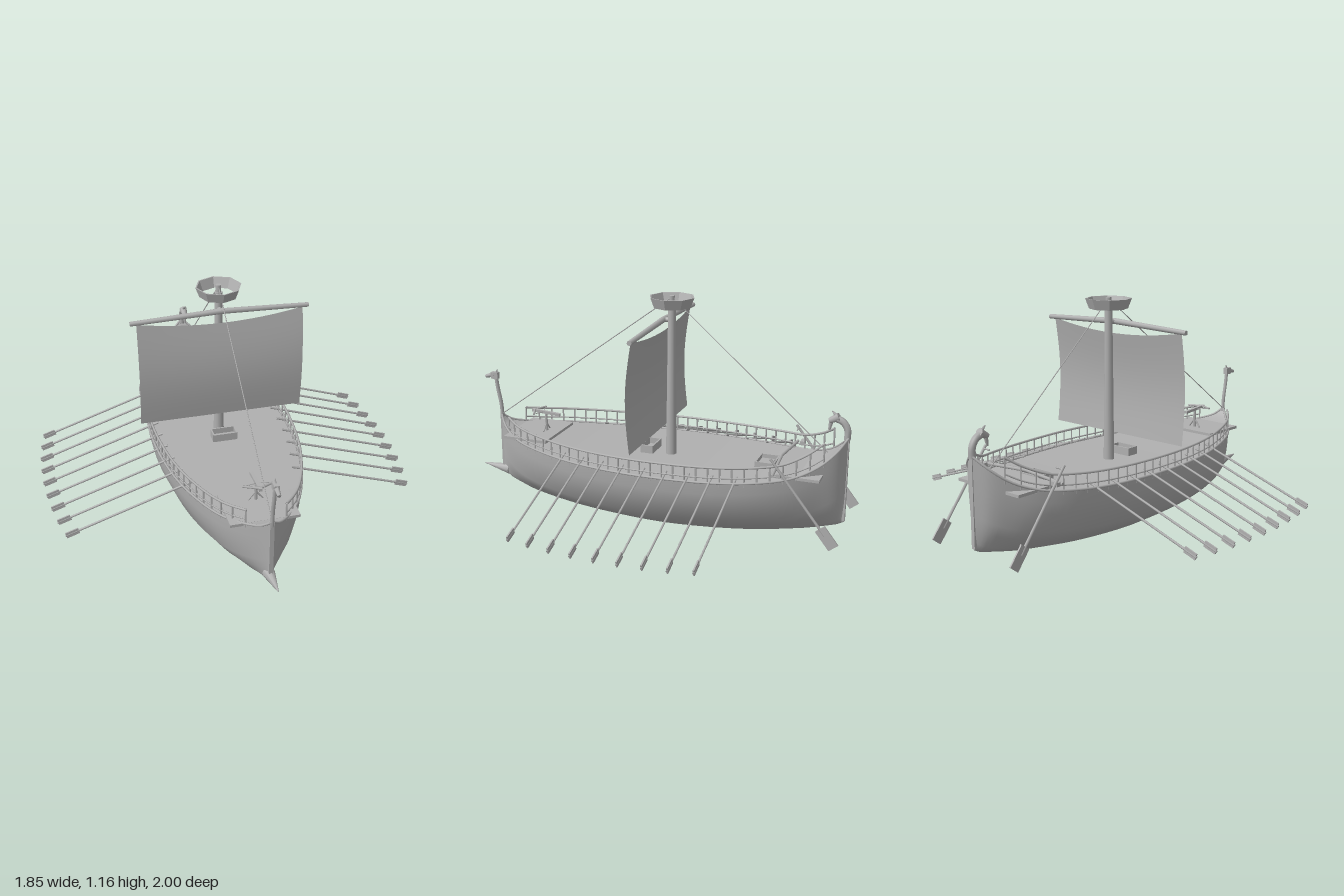
import * as THREE from 'three';

const V = (x, y, z) => new THREE.Vector3(x, y, z);
const grey = new THREE.MeshStandardMaterial({ color: 0xb0b0b0, side: THREE.DoubleSide });
grey.name = 'plain grey';

// Hull stations from bow to stern: z, half width, keel height, sheer height
const stations = [
  [0.88, 0.008, 0.13, 0.44], [0.85, 0.04, 0.10, 0.41], [0.8, 0.09, 0.08, 0.39], [0.7, 0.17, 0.055, 0.372],
  [0.6, 0.225, 0.04, 0.365], [0.4, 0.295, 0.02, 0.355], [0.2, 0.335, 0.008, 0.35], [-0.08, 0.355, 0, 0.35],
  [-0.4, 0.33, 0.015, 0.353], [-0.6, 0.28, 0.033, 0.362], [-0.75, 0.21, 0.052, 0.38], [-0.86, 0.135, 0.073, 0.425],
  [-0.93, 0.075, 0.09, 0.485], [-0.97, 0.01, 0.11, 0.54],
];
// Half cross-section of the hull as fractions of width and height
const section = [[1, 1], [0.985, 0.82], [0.95, 0.65], [0.83, 0.38], [0.68, 0.24], [0.4, 0.08], [0.2, 0.02], [0, 0]];
const sheer = new THREE.CatmullRomCurve3(stations.map(([z, w, , t]) => V(w, t, z)));
const keel = new THREE.CatmullRomCurve3(stations.map(([z, , k]) => V(0, k, z)));

// Point of the sheer line at a given z
function sheerAt(z) {
  let a = 0, b = 1;
  for (let i = 0; i < 24; i++) {
    const m = (a + b) / 2;
    if (sheer.getPoint(m).z > z) a = m; else b = m;
  }
  return sheer.getPoint(a);
}

// Surface through a grid of points, rows[i][j]
function loft(rows) {
  const n = rows[0].length, idx = [];
  for (let i = 0; i < rows.length - 1; i++) for (let j = 0; j < n - 1; j++) {
    const a = i * n + j, b = a + n;
    idx.push(a, a + 1, b, a + 1, b + 1, b);
  }
  const g = new THREE.BufferGeometry().setFromPoints(rows.flat());
  g.setIndex(idx);
  g.computeVertexNormals();
  return g;
}

export function createModel() {
  const ship = new THREE.Group();
  ship.name = 'galley';
  const add = (name, geo, parent = ship) => {
    const m = new THREE.Mesh(geo, grey);
    m.name = name;
    parent.add(m);
    return m;
  };
  const group = (name) => {
    const g = new THREE.Group();
    g.name = name;
    ship.add(g);
    return g;
  };
  // Round bar between two points
  const rod = (name, a, b, r0, r1 = r0, parent = ship, sides = 6) => {
    const m = add(name, new THREE.CylinderGeometry(r1, r0, a.distanceTo(b), sides), parent);
    m.position.copy(a).lerp(b, 0.5);
    m.quaternion.setFromUnitVectors(V(0, 1, 0), b.clone().sub(a).normalize());
    return m;
  };
  const box = (name, w, h, d, x, y, z, parent = ship) => {
    const m = add(name, new THREE.BoxGeometry(w, h, d), parent);
    m.position.set(x, y, z);
    return m;
  };
  const tube = (name, pts, r, parent = ship, n = 40) =>
    add(name, new THREE.TubeGeometry(new THREE.CatmullRomCurve3(pts), n, r, 6), parent);

  // Hull shell and deck
  const N = 52, hullRows = [], deckRows = [];
  for (let i = 0; i <= N; i++) {
    const s = sheer.getPoint(i / N), k = keel.getPoint(i / N);
    const half = section.map(([fx, fy]) => V(s.x * fx, k.y + (s.y - k.y) * fy, s.z));
    hullRows.push([...half, ...half.slice(0, -1).reverse().map((p) => V(-p.x, p.y, p.z))]);
    deckRows.push([V(-s.x, s.y - 0.002, s.z), V(s.x, s.y - 0.002, s.z)]);
  }
  add('hull', loft(hullRows));
  add('deck', loft(deckRows));

  // Gunwales and railings, mirrored
  for (const side of [1, -1]) {
    const rails = group(side > 0 ? 'leftRailing' : 'rightRailing');
    const edge = [], top = [], low = [];
    for (let i = 0; i <= N; i++) {
      const s = sheer.getPoint(i / N);
      edge.push(V(s.x * side, s.y, s.z));
    }
    tube('gunwale', edge, 0.006, rails, 80);
    const posts = 30;
    for (let i = 0; i <= posts; i++) {
      const z = 0.79 - (1.67 * i) / posts, s = sheerAt(z);
      const x = (s.x - 0.004) * side, y = s.y + 0.075 + 0.025 * Math.max(0, -z - 0.7) / 0.18;
      top.push(V(x, y, z));
      low.push(V(x, s.y + 0.025, z));
      rod('railPost', V(x, s.y - 0.02, z), V(x, y, z), 0.0045, 0.0045, rails, 4);
    }
    tube('topRail', top, 0.006, rails, 70);
    tube('lowerRail', low, 0.004, rails, 70);
  }

  // Rowing oars, nine on each side
  const oars = group('oars');
  for (let i = 0; i < 9; i++) {
    const z = 0.395 - 0.112 * i, w = sheerAt(z).x;
    for (const side of [1, -1]) {
      const inner = V((w - 0.05) * side, 0.372, z), outer = V((w + 0.57) * side, 0.165, z);
      rod('oarShaft', inner, outer, 0.0055, 0.0055, oars);
      const blade = box('oarBlade', 0.065, 0.03, 0.007, 0, 0, 0, oars);
      blade.position.copy(outer).lerp(inner, 0.055);
      blade.rotation.z = -Math.atan2(0.207, 0.62) * side;
    }
  }

  // Steering oars and their crossbeam
  const steering = group('steeringGear');
  for (const x of [0.262, -0.262]) {
    rod('steeringShaft', V(x, 0.485, -0.66), V(x, 0.14, -0.93), 0.007, 0.007, steering);
    const blade = box('steeringBlade', 0.008, 0.11, 0.055, x, 0.13, -0.94, steering);
    blade.rotation.x = Math.atan2(0.27, 0.345);
    box('steeringBracket', 0.05, 0.02, 0.02, x * 0.92, 0.405, -0.70, steering);
    rod('steeringBeam', V(0, 0.41, -0.65), V(x, 0.4, -0.67), 0.008, 0.008, steering);
    rod('tiller', V(x, 0.47, -0.672), V(x * 0.85, 0.47, -0.672), 0.004, 0.004, steering);
  }

  // Platforms and deck furniture
  box('bowPlatform', 0.33, 0.014, 0.24, 0, 0.378, 0.665);
  box('sternPlatform', 0.4, 0.014, 0.24, 0, 0.378, -0.76);
  const coaming = (name, w, d, z, h) => {
    const g = group(name);
    for (const s of [1, -1]) {
      box('endWall', 0.008, h, d, s * w / 2, 0.355 + h / 2, z, g);
      box('longWall', w, h, 0.008, 0, 0.355 + h / 2, z + s * d / 2, g);
    }
    box('floor', w, 0.01, d, 0, 0.36, z, g);
  };
  coaming('mastHatch', 0.12, 0.06, 0.03, 0.04);
  coaming('sternHatch', 0.12, 0.09, -0.58, 0.03);

  // Bolt thrower on the bow platform
  const thrower = group('boltThrower');
  rod('throwerStand', V(0, 0.38, 0.62), V(0, 0.48, 0.62), 0.009, 0.007, thrower);
  for (const s of [1, -1]) {
    rod('standLeg', V(s * 0.035, 0.385, 0.62), V(0, 0.43, 0.62), 0.004, 0.004, thrower);
    rod('bowArm', V(0, 0.49, 0.685), V(s * 0.072, 0.49, 0.655), 0.007, 0.005, thrower);
    rod('bowString', V(s * 0.072, 0.49, 0.655), V(0, 0.485, 0.635), 0.002, 0.002, thrower);
  }
  box('throwerStock', 0.016, 0.014, 0.16, 0, 0.483, 0.62, thrower).rotation.x = -0.07;

  // Mast, lookout ring, yard
  rod('mast', V(0, 0.345, -0.08), V(0, 1.12, -0.08), 0.027, 0.019, ship, 12);
  rod('mastTop', V(0, 1.12, -0.08), V(0, 1.157, -0.08), 0.014, 0.014, ship, 8);
  const flat = (g) => { const f = g.toNonIndexed(); f.computeVertexNormals(); return f; };
  for (const d of [0, 0.007])
    add('lookoutRing', flat(new THREE.CylinderGeometry(0.114 - d, 0.095 - d, 0.05, 8, 1, true))).position.set(0, 1.127, -0.08);
  const rim = add('lookoutRim', new THREE.RingGeometry(0.107, 0.114, 8));
  rim.rotation.x = -Math.PI / 2;
  rim.position.set(0, 1.152, -0.08);
  for (const s of [1, -1])
    rod('yard', V(0, 1.036, -0.037), V(s * 0.445, 1.02, -0.037), 0.015, 0.012, ship, 8);
  rod('yardLashing', V(0, 1.036, -0.035), V(0, 1.036, -0.08), 0.012);

  // Sail, sagging along the top and slightly billowed
  const sail = new THREE.PlaneGeometry(0.83, 1, 16, 12), p = sail.attributes.position;
  for (let i = 0; i < p.count; i++) {
    const x = p.getX(i), v = p.getY(i) + 0.5, u = x / 0.415;
    const topY = 0.975 + 0.04 * u * u;
    p.setXYZ(i, x, 0.47 + (topY - 0.47) * v, -0.02 - 0.012 * v + 0.025 * Math.sin(Math.PI * v));
  }
  sail.computeVertexNormals();
  add('sail', sail);

  // Stays fore and aft
  rod('foreStay', V(0, 0.45, 0.875), V(0, 1.15, -0.08), 0.0025);
  rod('backStay', V(0, 0.455, -0.875), V(0, 1.15, -0.08), 0.0025);

  // Bow: stem, ram and carved post
  box('stem', 0.02, 0.31, 0.016, 0, 0.29, 0.88);
  rod('ram', V(0, 0.135, 0.85), V(0, 0.15, 1.0), 0.03, 0.003, ship, 8);
  tube('bowPost', [V(0, 0.42, 0.88), V(0, 0.5, 0.885), V(0, 0.58, 0.9), V(0, 0.65, 0.91)], 0.01, ship, 16);
  const figure = group('bowFigurehead');
  box('head', 0.024, 0.035, 0.04, 0, 0.655, 0.915, figure);
  rod('snout', V(0, 0.66, 0.92), V(0, 0.645, 0.97), 0.014, 0.009, figure);
  rod('crest', V(0, 0.665, 0.91), V(0, 0.69, 0.9), 0.008, 0.002, figure);

  // Stern: post and forward-curling ornament
  box('sternPost', 0.02, 0.42, 0.014, 0, 0.325, -0.967);
  const curl = group('sternOrnament');
  tube('neck', [V(0, 0.53, -0.963), V(0, 0.58, -0.962), V(0, 0.615, -0.94), V(0, 0.63, -0.905)], 0.017, curl, 16);
  rod('head', V(0, 0.64, -0.92), V(0, 0.615, -0.875), 0.021, 0.014, curl, 8);
  rod('beak', V(0, 0.625, -0.885), V(0, 0.57, -0.875), 0.012, 0.006, curl);
  rod('crest', V(0, 0.64, -0.91), V(0, 0.665, -0.885), 0.01, 0.003, curl);

  return ship;
}
